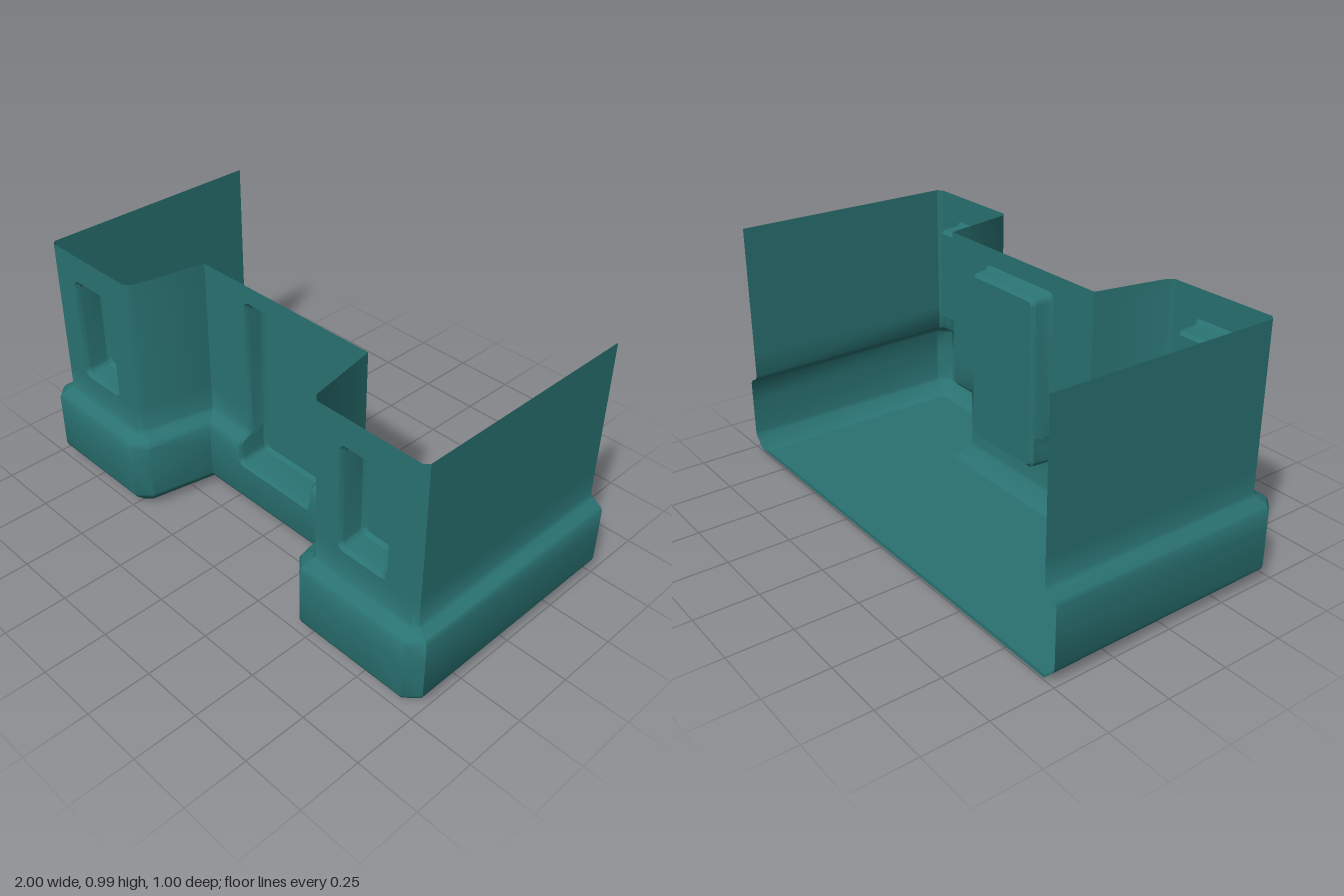
import * as THREE from 'three';
import { toCreasedNormals } from 'three/addons/utils/BufferGeometryUtils.js';

const material = new THREE.MeshStandardMaterial({ color: 0x2a7272, side: THREE.DoubleSide });

// Plan outline [x, z] of the left half, from the open back to the doorway
const half = [[1, -0.5], [1, 0.45], [0.95, 0.5], [0.815, 0.5], [0.595, 0.5],
  [0.47, 0.5], [0.42, 0.45], [0.37, 0.19], [0.2, 0.19]];
const outline = [...half, ...half.map(([x, z]) => [-x, z]).reverse()];

// Wall profile [inset, height]; extra rows mark the panel openings
const profile = [[0.07, 0], [0.05, 0.008], [0.006, 0.055], [0, 0.07], [0, 0.21], [0, 0.3],
  [0.01, 0.315], [0.045, 0.335], [0.055, 0.35], [0.055, 0.45], [0.055, 0.88],
  [0.055, 0.92], [0.055, 0.99]];

function insetAt(y) {
  const k = Math.max(1, profile.findIndex((p) => p[1] >= y));
  const [a, b] = [profile[k - 1], profile[k]];
  return a[0] + (b[0] - a[0]) * (y - a[1]) / (b[1] - a[1]);
}

// Outline moved inwards by d with mitred corners
function offsetOutline(d) {
  const normal = (a, b) => new THREE.Vector2(b[1] - a[1], a[0] - b[0]).normalize();
  const last = outline.length - 1;
  return outline.map((p, i) => {
    const n1 = normal(outline[Math.max(i - 1, 0)], outline[Math.max(i, 1)]);
    const n2 = normal(outline[Math.min(i, last - 1)], outline[Math.min(i + 1, last)]);
    const m = n1.clone().add(n2).divideScalar(1 + n1.dot(n2));
    return [p[0] - m.x * d, p[1] - m.y * d];
  });
}

// Surface through rows of points, leaving out quads where skip(column, row) is true
function skin(name, rows, skip = () => false) {
  const pos = [];
  const tri = (a, b, c) => {
    if (new THREE.Triangle(a, b, c).getArea() > 1e-9) {
      for (const p of [a, b, c]) pos.push(p.x, p.y, p.z);
    }
  };
  for (let j = 0; j < rows.length - 1; j++) {
    for (let i = 0; i < rows[j].length - 1; i++) {
      if (skip(i, j)) continue;
      tri(rows[j][i], rows[j + 1][i], rows[j + 1][i + 1]);
      tri(rows[j][i], rows[j + 1][i + 1], rows[j][i + 1]);
    }
  }
  const geometry = new THREE.BufferGeometry();
  geometry.setAttribute('position', new THREE.Float32BufferAttribute(pos, 3));
  const mesh = new THREE.Mesh(toCreasedNormals(geometry, 0.6), material);
  mesh.name = name;
  return mesh;
}

// Recessed panel with rounded corners, open towards the front
function pocket(name, cx, hw, y0, y1, wallZ, backZ, sideYs = []) {
  const ring = (inset, r, zAt) => {
    const pts = [];
    const add = (x, y) => pts.push(new THREE.Vector3(cx + x, y, zAt(y)));
    const w = hw - inset, lo = y0 + inset, hi = y1 - inset;
    const corner = (sx, sy, start) => {
      for (let k = 0; k <= 4; k++) {
        const a = start - k * Math.PI / 8;
        add(sx * (w - r) + r * Math.cos(a), (sy > 0 ? hi - r : lo + r) + r * Math.sin(a));
      }
    };
    corner(1, 1, Math.PI / 2);
    [...sideYs].reverse().forEach((y) => add(w, y));
    corner(1, -1, 0);
    corner(-1, -1, -Math.PI / 2);
    sideYs.forEach((y) => add(-w, y));
    corner(-1, 1, Math.PI);
    pts.push(pts[0].clone());
    return pts;
  };
  const rows = [
    ring(0, 0, wallZ),
    ring(0, 0.025, wallZ),
    ring(0.01, 0.025, (y) => wallZ(y) - 0.015),
    ring(0.014, 0.025, () => backZ + 0.015),
    ring(0.026, 0.02, () => backZ),
  ];
  const center = new THREE.Vector3(cx, (y0 + y1) / 2, backZ);
  rows.push(rows[0].map(() => center));
  return skin(name, rows);
}

export function createModel() {
  const group = new THREE.Group();
  group.name = 'buildingFacade';

  // Walls with plinth, ledge and three openings
  const rows = profile.map(([d, y]) => offsetOutline(d).map(([x, z]) =>
    new THREE.Vector3(x, y, y === 0 ? Math.max(z, -0.48) : z)));
  const row = (y) => profile.findIndex((p) => p[1] === y);
  const isOpening = (i, j) =>
    (i === 8 && j >= row(0.21) && j < row(0.92)) ||
    ((i === 3 || i === 13) && j >= row(0.45) && j < row(0.88));
  group.add(skin('walls', rows, isOpening));

  // Floor and its small bevel along the open back
  const shape = new THREE.Shape(rows[0].map((p) => new THREE.Vector2(p.x, p.z)));
  const floor = new THREE.Mesh(new THREE.ShapeGeometry(shape).rotateX(Math.PI / 2), material);
  floor.name = 'floor';
  group.add(floor);
  const ends = (r) => [r[r.length - 1], r[0]];
  group.add(skin('floorBackEdge', [ends(rows[0]), ends(rows[1])]));

  // Door recess, cutting through the ledge
  group.add(pocket('doorRecess', 0, 0.2, 0.21, 0.92, (y) => 0.19 - insetAt(y), 0.055,
    [0.3, 0.315, 0.335, 0.35]));

  // Window recesses
  for (const [name, s] of [['leftWindowRecess', 1], ['rightWindowRecess', -1]]) {
    group.add(pocket(name, s * 0.705, 0.11, 0.45, 0.88, () => 0.445, 0.335));
  }
  return group;
}
